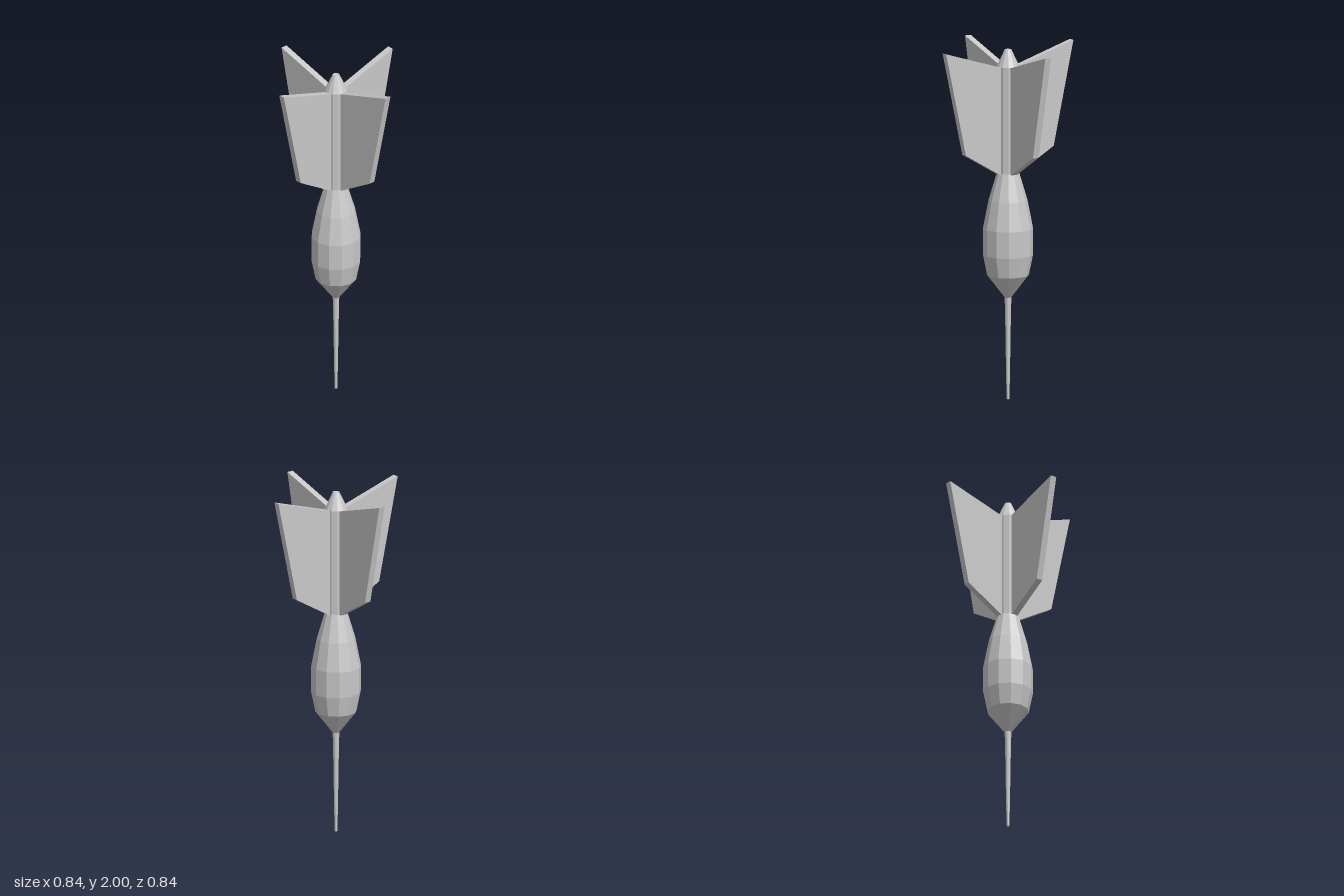
import * as THREE from 'three';

const SIDES = 12;

export function createModel() {
  const dart = new THREE.Group();
  dart.name = 'dart';
  const grey = new THREE.MeshStandardMaterial({ color: 0xc8c8c8, flatShading: true });
  grey.name = 'plain grey';

  // Turned part from [radius, height] pairs, bottom to top
  const turned = (name, profile) => {
    const points = profile.map(([r, y]) => new THREE.Vector2(r, y));
    const mesh = new THREE.Mesh(new THREE.LatheGeometry(points, SIDES), grey);
    mesh.name = name;
    dart.add(mesh);
  };

  turned('needle', [[0, 0], [0.008, 0], [0.012, 0.2], [0.015, 0.4], [0.019, 0.58], [0, 0.58]]);
  turned('barrel', [
    [0, 0.578], [0.019, 0.578], [0.117, 0.705], [0.14, 0.82],
    [0.14, 0.97], [0.109, 1.13], [0.063, 1.285], [0, 1.285],
  ]);
  turned('shaft', [[0, 1.28], [0.063, 1.28], [0.063, 1.89], [0.019, 1.985], [0, 1.985]]);

  // Four identical flights around the shaft
  const thickness = 0.038;
  const outline = new THREE.Shape([
    [0.045, 1.27], [0.063, 1.28], [0.29, 1.412], [0.42, 2], [0.063, 1.89], [0.045, 1.885],
  ].map(([x, y]) => new THREE.Vector2(x, y)));
  const flight = new THREE.ExtrudeGeometry(outline, { depth: thickness, bevelEnabled: false });
  flight.translate(0, 0, -thickness / 2);
  for (let i = 0; i < 4; i++) {
    const mesh = new THREE.Mesh(flight, grey);
    mesh.name = `flight${i + 1}`;
    mesh.rotation.y = (i * Math.PI) / 2;
    dart.add(mesh);
  }
  return dart;
}
